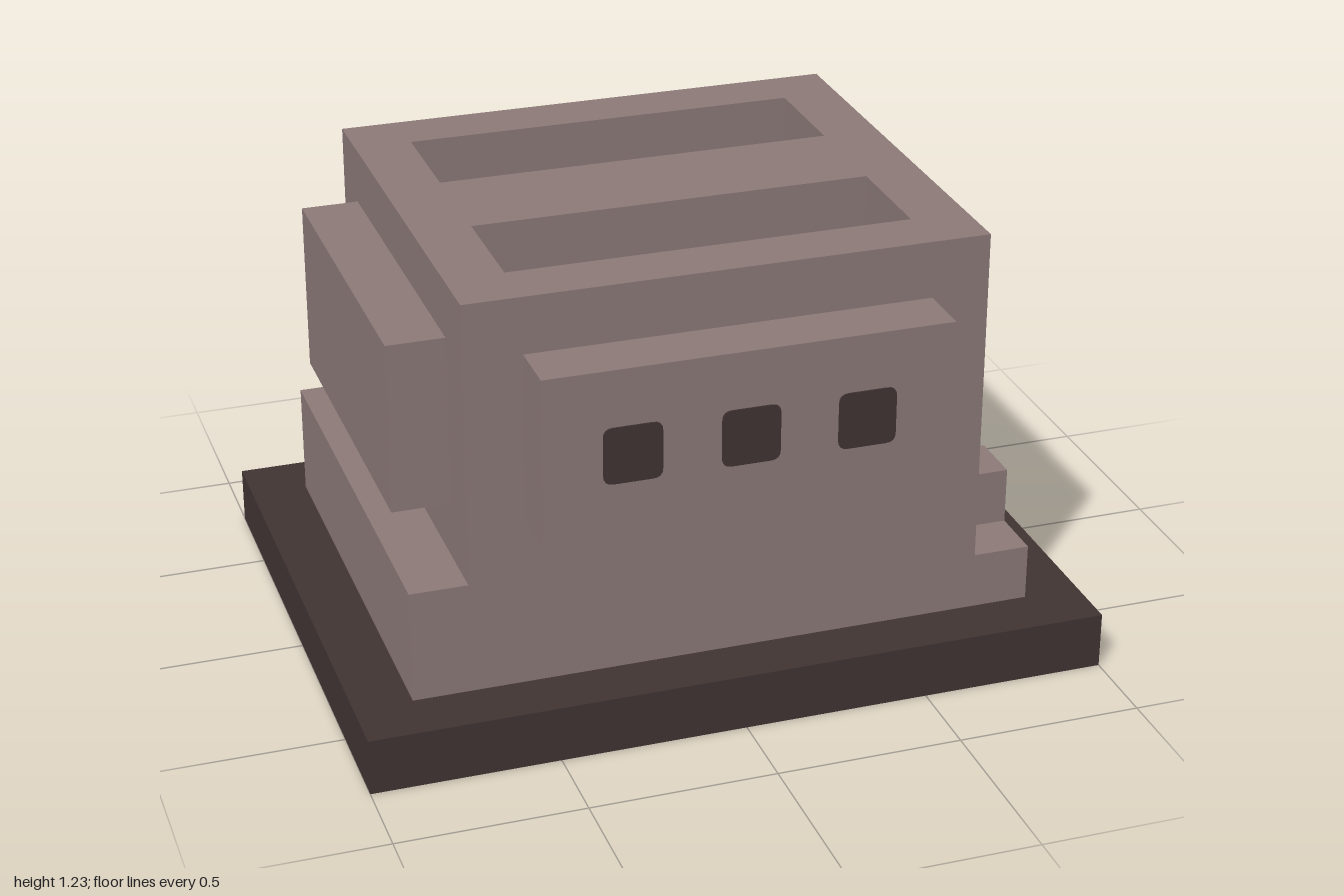
import * as THREE from 'three';

const U = 2 / 13; // modelling unit: the base is 13 x 10 units
const PLATE = 0.004; // thickness of painted details

const stone = new THREE.MeshStandardMaterial({ color: 0x8d7a79 });
stone.name = 'mauve stone';
const dark = new THREE.MeshStandardMaterial({ color: 0x413433 });
dark.name = 'dark brown';

// Box from its minimum and maximum corners, in units
function box(name, material, [x0, y0, z0], [x1, y1, z1]) {
  const mesh = new THREE.Mesh(new THREE.BoxGeometry((x1 - x0) * U, (y1 - y0) * U, (z1 - z0) * U), material);
  mesh.position.set((x0 + x1) / 2 * U, (y0 + y1) / 2 * U, (z0 + z1) / 2 * U);
  mesh.name = name;
  return mesh;
}

// Rectangle outline; b and t are the bottom and top corner radii
function outline(Type, x0, y0, x1, y1, b = 0, t = 0) {
  const s = new Type();
  s.moveTo(x0 + b, y0);
  s.lineTo(x1 - b, y0);
  if (b) s.quadraticCurveTo(x1, y0, x1, y0 + b);
  s.lineTo(x1, y1 - t);
  if (t) s.quadraticCurveTo(x1, y1, x1 - t, y1);
  s.lineTo(x0 + t, y1);
  if (t) s.quadraticCurveTo(x0, y1, x0, y1 - t);
  s.lineTo(x0, y0 + b);
  if (b) s.quadraticCurveTo(x0, y0, x0 + b, y0);
  return s;
}

function extrude(name, material, shape, depth) {
  const mesh = new THREE.Mesh(
    new THREE.ExtrudeGeometry(shape, { depth, bevelEnabled: false, curveSegments: 4 }), material);
  mesh.name = name;
  return mesh;
}

export function createModel() {
  const model = new THREE.Group();
  model.name = 'blockBuilding';

  // Base and main body
  model.add(box('base', dark, [-6.5, 0, -5], [6.5, 1, 5]));
  model.add(box('body', stone, [-4.5, 1, -4], [4.5, 7, 4]));

  // Roof slab with two long slots
  const roofShape = outline(THREE.Shape, -4.5 * U, -4 * U, 4.5 * U, 4 * U);
  for (const z of [-3, 1]) {
    roofShape.holes.push(outline(THREE.Path, -3.5 * U, z * U, 3.5 * U, (z + 2) * U));
    model.add(box('slotFloor', dark, [-3.5, 7, z], [3.5, 7 + PLATE / U, z + 2]));
  }
  const roof = extrude('roof', stone, roofShape, U);
  roof.rotation.x = -Math.PI / 2;
  roof.position.y = 7 * U;
  model.add(roof);

  // Projecting bays with three windows, front and back
  for (const [name, turn] of [['frontBay', 0], ['backBay', Math.PI]]) {
    const bay = new THREE.Group();
    bay.name = name;
    bay.add(box('bayBlock', stone, [-3.5, 4, 4], [3.5, 7, 5]));
    for (const x of [-2, 0, 2]) {
      const pane = extrude('window', dark,
        outline(THREE.Shape, -U / 2, -U / 2, U / 2, U / 2, 0.025, 0.025), PLATE);
      pane.position.set(x * U, 5.5 * U, 5 * U);
      bay.add(pane);
    }
    bay.rotation.y = turn;
    model.add(bay);
  }

  // Plain bay and tall ledge on the right side
  model.add(box('rightBay', stone, [-5.5, 4, -3], [-4.5, 7, 3]));
  model.add(box('rightLedge', stone, [-5.5, 1, -4], [-4.5, 3, 4]));

  // Doorstep, posts and door on the left side
  model.add(box('doorstep', stone, [4.5, 1, -4], [5.5, 2, 4]));
  for (const z of [-3, 2]) model.add(box('doorPost', stone, [4.5, 2, z], [5.5, 3, z + 1]));
  const door = extrude('door', dark, outline(THREE.Shape, -U, 2 * U, U, 7 * U, 0, 0.015), PLATE);
  door.rotation.y = Math.PI / 2;
  door.position.x = 4.5 * U;
  model.add(door);

  return model;
}
